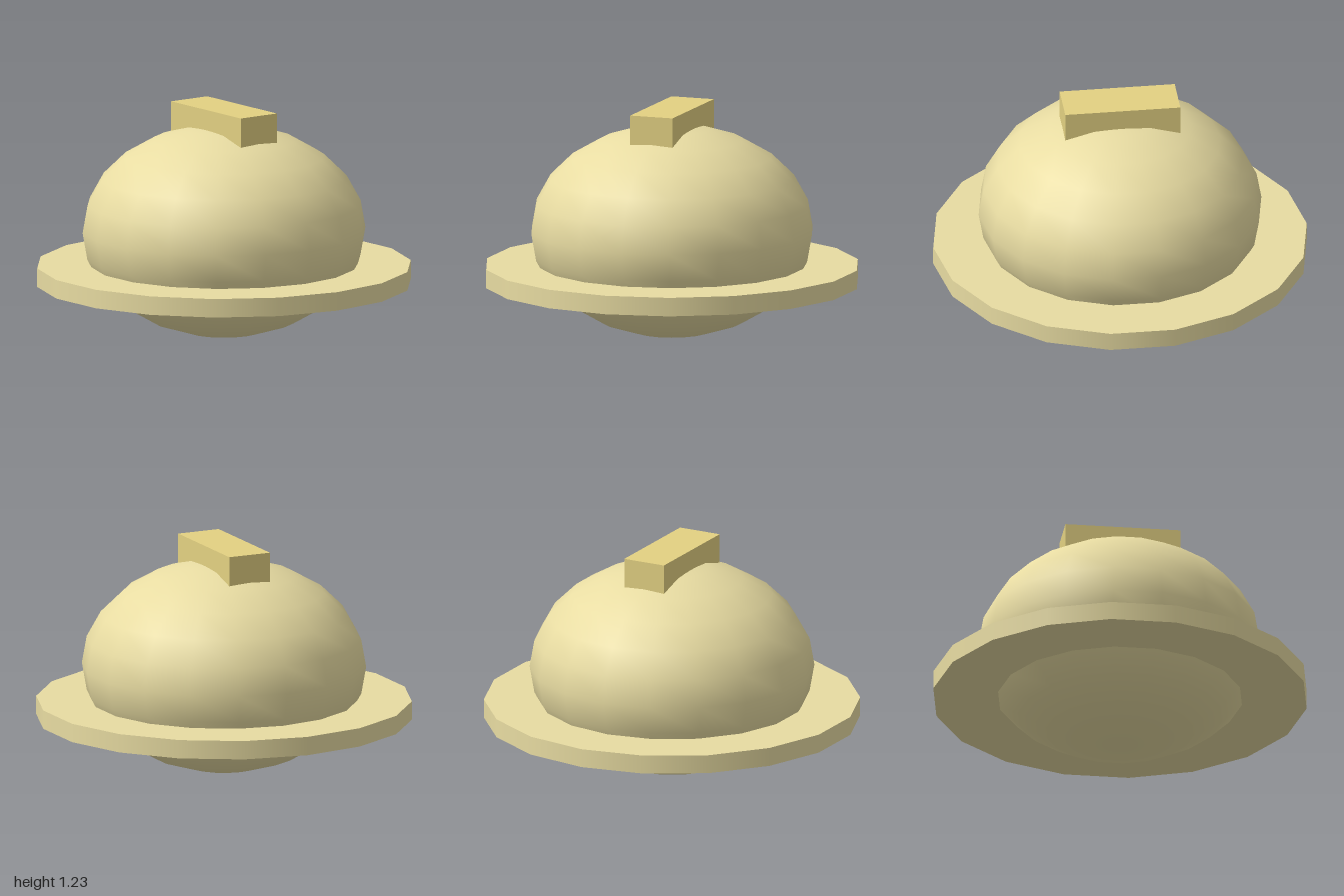
import * as THREE from 'three';

const SIDES = 18;

export function createModel() {
  const model = new THREE.Group();
  const cream = new THREE.MeshStandardMaterial({ color: 0xe8dca2 });
  const gold = new THREE.MeshStandardMaterial({ color: 0xe3d182 });

  const add = (name, geometry, material, y) => {
    const mesh = new THREE.Mesh(geometry, material);
    mesh.name = name;
    mesh.position.y = y;
    model.add(mesh);
    return mesh;
  };

  // Squashed round body resting on its lowest point
  const body = add('body', new THREE.SphereGeometry(0.757, SIDES, 12), cream, 0.565);
  body.scale.y = 0.565 / 0.757;

  // Wide flat brim around the lower body, with corners on the x axis
  const brim = add('brim', new THREE.CylinderGeometry(1, 1, 0.1, SIDES), cream, 0.33);
  brim.rotation.y = Math.PI / 2;

  // Bar across the crown, sunk into the body
  add('topBar', new THREE.BoxGeometry(0.616, 0.24, 0.24), gold, 1.108);

  return model;
}
